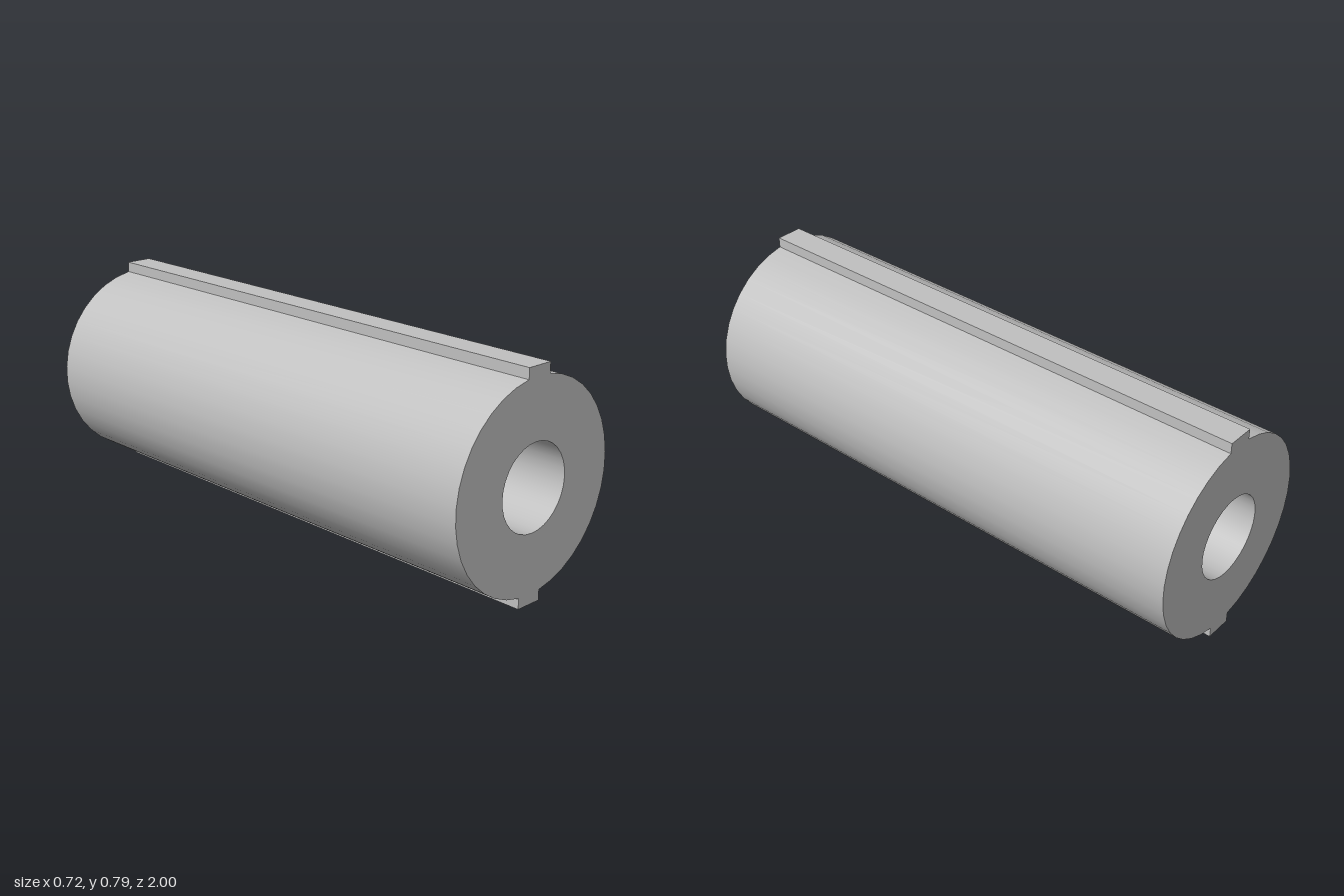
import * as THREE from 'three';
import { toCreasedNormals } from 'three/addons/utils/BufferGeometryUtils.js';

const RADIUS = 0.36, BORE = 0.15, KEY_HALF = 0.05, KEY_TOP = 0.394, LENGTH = 2;
const ARC_STEPS = 17, BORE_STEPS = 32;

export function createModel() {
  const group = new THREE.Group();
  group.name = 'keyedSleeve';
  const metal = new THREE.MeshStandardMaterial({ color: 0xc0c0c0 });
  metal.name = 'light grey';

  // Outline: two facing arcs joined by the square key ribs at top and bottom
  const limit = Math.acos(KEY_HALF / RADIUS);
  const outline = [];
  for (const side of [1, -1]) {
    outline.push(new THREE.Vector2(side * KEY_HALF, -side * KEY_TOP));
    for (let i = 0; i <= ARC_STEPS; i++) {
      const a = -limit + (2 * limit * i) / ARC_STEPS;
      outline.push(new THREE.Vector2(side * RADIUS * Math.cos(a), side * RADIUS * Math.sin(a)));
    }
    outline.push(new THREE.Vector2(side * KEY_HALF, side * KEY_TOP));
  }
  const section = new THREE.Shape(outline);

  // Round bore through the middle
  const bore = [];
  for (let i = 0; i < BORE_STEPS; i++) {
    const a = (-2 * Math.PI * i) / BORE_STEPS;
    bore.push(new THREE.Vector2(BORE * Math.cos(a), BORE * Math.sin(a)));
  }
  section.holes.push(new THREE.Path(bore));

  // Smooth round walls, sharp rims and ribs
  const extruded = new THREE.ExtrudeGeometry(section, { depth: LENGTH, bevelEnabled: false });
  extruded.translate(0, KEY_TOP, -LENGTH / 2);
  const sleeve = new THREE.Mesh(toCreasedNormals(extruded, 0.5), metal);
  sleeve.name = 'sleeveWithKeyRibs';
  group.add(sleeve);
  return group;
}
